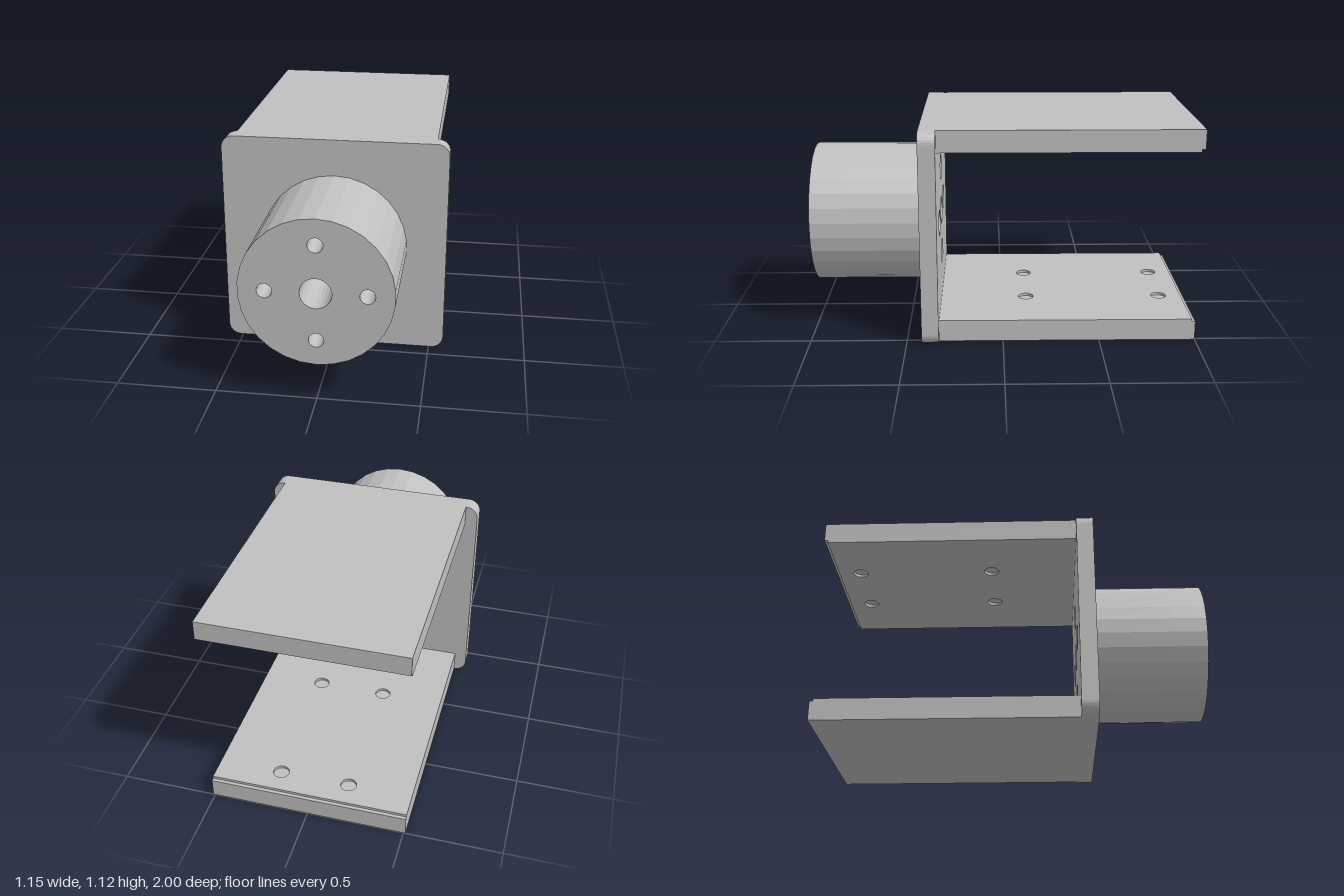
import * as THREE from 'three';

const MID = 0.56; // height of the drum axis

// Points of an arc or circle
function arc(cx, cy, r, n, start = 0, sweep = Math.PI * 2, closed = true) {
  const pts = [];
  for (let i = 0; i < n; i++) {
    const a = start + sweep * i / (closed ? n : n - 1);
    pts.push(new THREE.Vector2(cx + r * Math.cos(a), cy + r * Math.sin(a)));
  }
  return pts;
}

// Rounded rectangle centred on the origin
function roundedRect(hw, hh, r) {
  const pts = [];
  [[1, 1], [-1, 1], [-1, -1], [1, -1]].forEach(([sx, sy], i) => {
    pts.push(...arc(sx * (hw - r), sy * (hh - r), r, 8, i * Math.PI / 2, Math.PI / 2, false));
  });
  return pts;
}

// Flat-faced extrusion of an outline with round holes [x, y, radius]
function punched(outline, holes, depth) {
  const shape = new THREE.Shape(outline);
  for (const [x, y, r] of holes) shape.holes.push(new THREE.Path(arc(x, y, r, 24)));
  return new THREE.ExtrudeGeometry(shape, { depth, bevelEnabled: false });
}

export function createModel() {
  const model = new THREE.Group();
  model.name = 'mountingBracket';
  const grey = new THREE.MeshStandardMaterial({ color: 0xc0c0c0 });
  grey.name = 'grey';

  function add(parent, name, geometry, x, y, z) {
    const mesh = new THREE.Mesh(geometry, grey);
    mesh.name = name;
    mesh.position.set(x, y, z);
    parent.add(mesh);
    return mesh;
  }

  // Central bore and four screw holes, wider at the back than at the front
  const bores = (r) => [
    [0, 0, 0.077],
    ...[[1, 0], [0, 1], [-1, 0], [0, -1]].map(([x, y]) => [x * 0.243, y * 0.243, r]),
  ];
  const disc = arc(0, 0, 0.373, 30, Math.PI / 30);
  add(model, 'flangePlate', punched(roundedRect(0.575, 0.56, 0.062), bores(0.07), 0.088), 0, MID, 0.332);
  add(model, 'drumBody', punched(disc, bores(0.07), 0.4), 0, MID, 0.42);
  add(model, 'drumFace', punched(disc, bores(0.037), 0.18), 0, MID, 0.82);

  // Arm with a thin inner pad that stops short of the tip and has four shallow holes
  function makeArm(name) {
    const arm = new THREE.Group();
    arm.name = name;
    add(arm, 'armSlab', new THREE.BoxGeometry(1.02, 0.1, 1.332), 0, 0.05, -0.334);
    const outline = [[-0.51, -0.332], [0.51, -0.332], [0.51, 0.982], [-0.51, 0.982]]
      .map(([x, y]) => new THREE.Vector2(x, y));
    const holes = [];
    for (const x of [-0.18, 0.18]) for (const y of [0.13, 0.86]) holes.push([x, y, 0.041]);
    const pad = punched(outline, holes, 0.014).rotateX(-Math.PI / 2);
    add(arm, 'armPad', pad, 0, 0.1, 0);
    model.add(arm);
    return arm;
  }
  makeArm('lowerArm');
  const upper = makeArm('upperArm');
  upper.rotation.z = Math.PI;
  upper.position.y = 2 * MID;

  return model;
}
